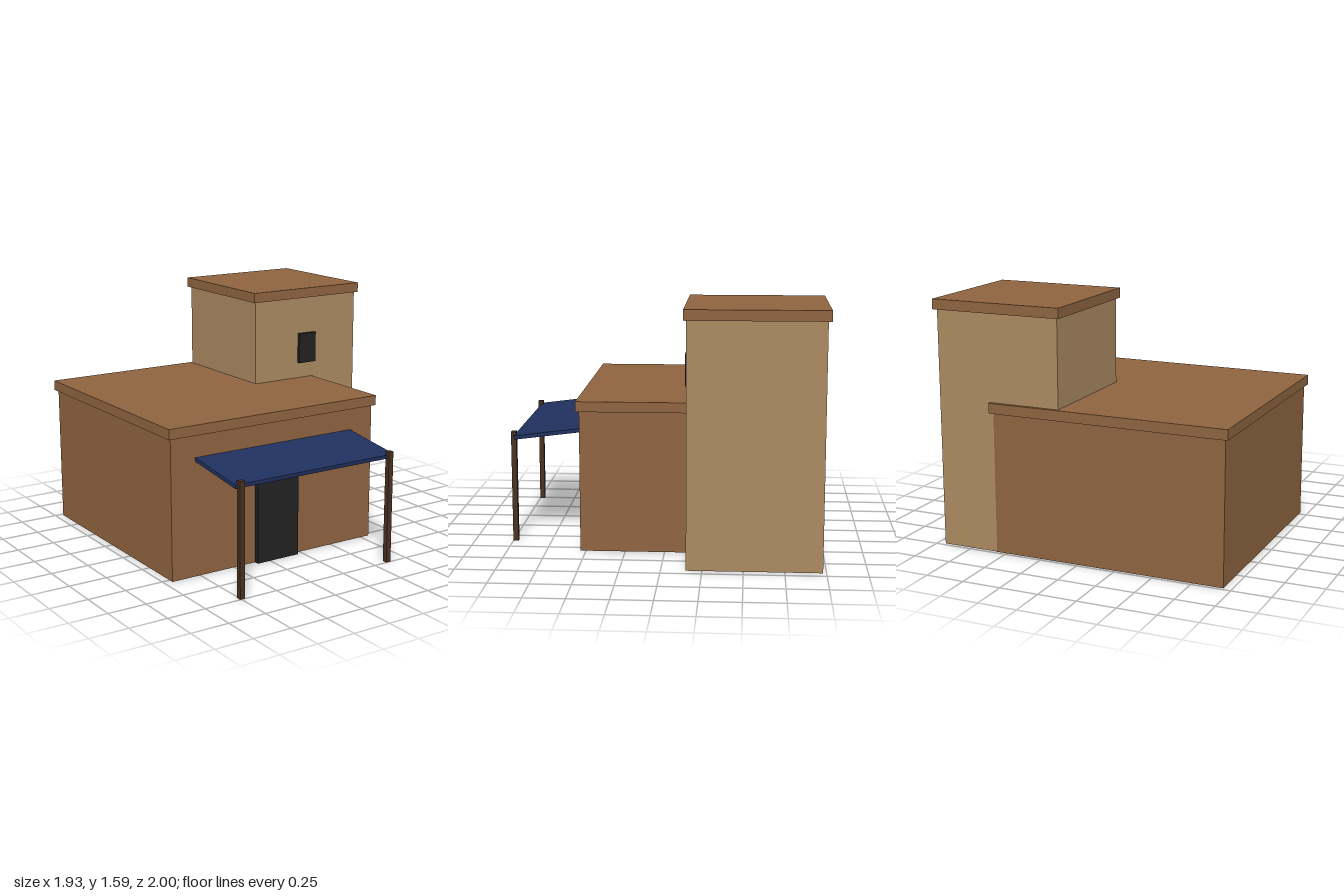
import * as THREE from 'three';

const paint = (name, color) => {
  const m = new THREE.MeshStandardMaterial({ color });
  m.name = name;
  return m;
};

export function createModel() {
  const brown = paint('brown clay', 0x8f6440);
  const tan = paint('tan clay', 0xab8a62);
  const blue = paint('blue cloth', 0x20315f);
  const wood = paint('dark wood', 0x4a3222);
  const black = paint('near black', 0x222222);

  const model = new THREE.Group();
  model.name = 'house';

  // Box given by its extents along each axis
  const block = (name, material, [x0, x1], [y0, y1], [z0, z1]) => {
    const mesh = new THREE.Mesh(new THREE.BoxGeometry(x1 - x0, y1 - y0, z1 - z0), material);
    mesh.position.set((x0 + x1) / 2, (y0 + y1) / 2, (z0 + z1) / 2);
    mesh.name = name;
    model.add(mesh);
    return mesh;
  };

  // Main house and its overhanging roof slab
  block('houseWalls', brown, [-0.948, 0.567], [0, 0.9], [-0.98, 0.535]);
  block('houseRoof', brown, [-0.968, 0.587], [0.9, 0.965], [-1, 0.555]);

  // Corner tower, set a hair inside the shared back wall and floor
  block('towerWalls', tan, [0.12, 0.945], [0.001, 1.52], [-0.979, -0.153]);
  block('towerRoof', brown, [0.1, 0.965], [1.52, 1.585], [-1, -0.135]);

  // Openings
  block('door', black, [-0.345, -0.035], [0, 0.69], [0.53, 0.567]);
  block('towerWindow', black, [0.467, 0.602], [1.07, 1.275], [-0.158, -0.13]);

  // Sloping awning, falling towards the front
  const awning = block('awning', blue, [-0.777, 0.395], [0.706, 0.731], [0.525, 0.98]);
  awning.rotation.x = 0.126;

  // Awning posts
  for (const [name, x] of [['rightPost', -0.743], ['leftPost', 0.358]]) {
    block(name, wood, [x - 0.017, x + 0.017], [0, 0.725], [0.966, 1]);
  }

  return model;
}
